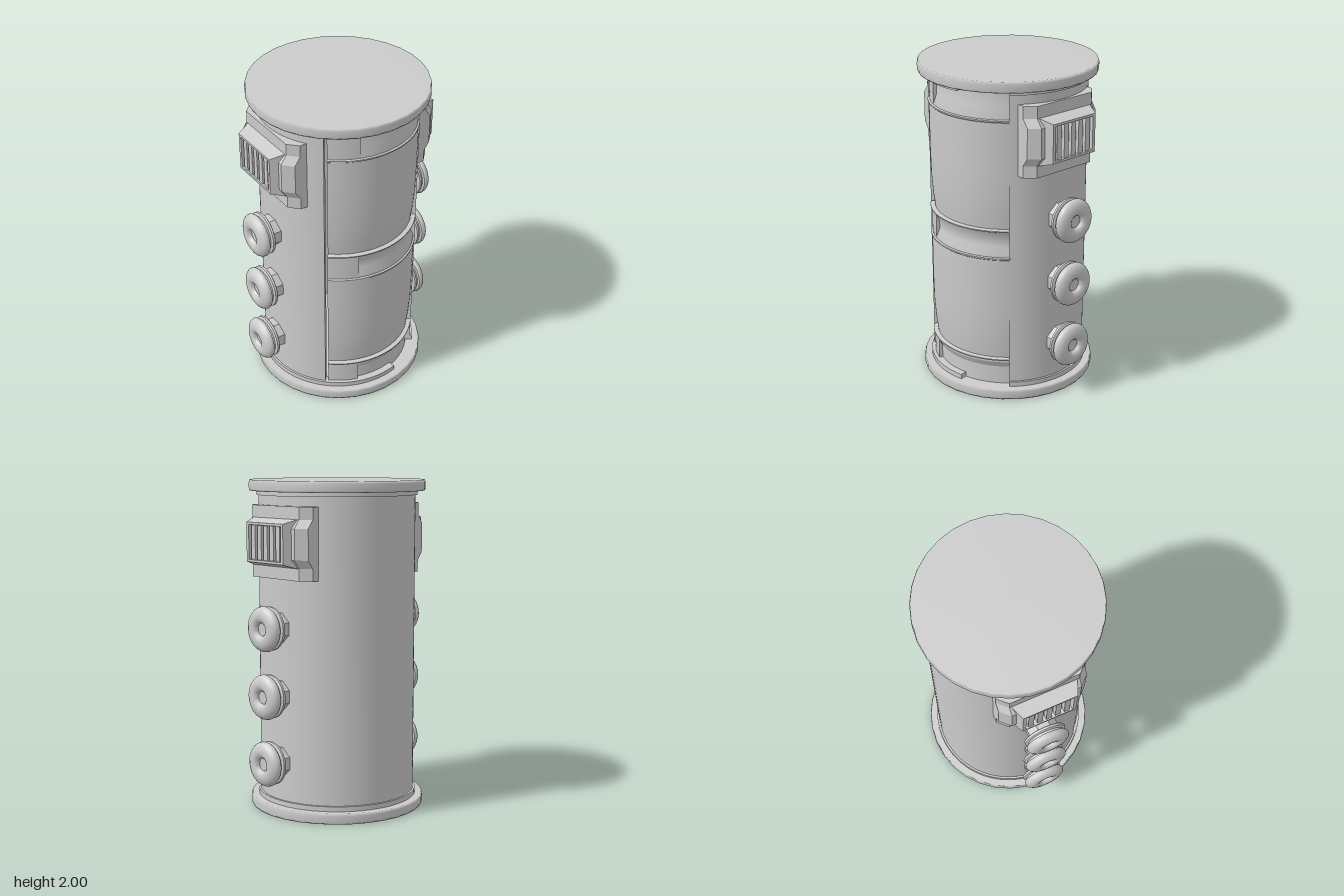
import * as THREE from 'three';
import { toCreasedNormals } from 'three/addons/utils/BufferGeometryUtils.js';

const rad = THREE.MathUtils.degToRad;
const grey = new THREE.MeshStandardMaterial({ color: 0xcccccc, side: THREE.DoubleSide });
const pts = (list) => list.map(([x, y]) => new THREE.Vector2(x, y));

function add(parent, name, geometry) {
  const mesh = new THREE.Mesh(geometry, grey);
  mesh.name = name;
  parent.add(mesh);
  return mesh;
}

// Solid sector of a ring; angles in degrees from the front (+z) towards +x
function ringSector(r0, r1, from, to, y0, y1) {
  const a = rad(from - 90), b = rad(to - 90);
  const shape = new THREE.Shape();
  shape.absarc(0, 0, r1, a, b, false);
  shape.absarc(0, 0, r0, b, a, true);
  const g = new THREE.ExtrudeGeometry(shape, { depth: y1 - y0, bevelEnabled: false, curveSegments: 40 });
  g.rotateX(-Math.PI / 2).translate(0, y0, 0);
  return toCreasedNormals(g, 0.5);
}

// Barrel-shaped panel profile, tucked in at its lower edge, with a thin lip at each end
const panelProfile = (y) => [
  [0.465, y - 0.015], [0.475, y - 0.01], [0.475, y - 0.003], [0.447, y], [0.457, y + 0.08],
  [0.466, y + 0.2], [0.47, y + 0.38], [0.47, y + 0.655], [0.476, y + 0.66], [0.476, y + 0.668], [0.465, y + 0.672],
];

// Round knob on a faceted stem, pointing along +x
function knob() {
  const group = new THREE.Group();
  group.name = 'knob';
  const stem = new THREE.CylinderGeometry(0.098, 0.098, 0.08, 8).toNonIndexed();
  stem.computeVertexNormals();
  stem.rotateY(Math.PI / 8).rotateZ(-Math.PI / 2).translate(0.5, 0, 0);
  add(group, 'knobStem', stem);
  const profile = pts([
    [0, 0.526], [0.125, 0.526], [0.13, 0.53], [0.13, 0.544], [0.125, 0.548], [0.112, 0.55],
    [0.112, 0.564], [0.13, 0.566], [0.135, 0.575], [0.132, 0.59], [0.122, 0.604],
    [0.1, 0.616], [0.075, 0.62], [0.055, 0.616], [0.043, 0.606], [0.039, 0.592], [0, 0.59],
  ]);
  const head = new THREE.LatheGeometry(profile, 32).rotateZ(-Math.PI / 2);
  add(group, 'knobHead', toCreasedNormals(head, 0.8));
  return group;
}

// Vent on a bulged backing plate, facing +x
function vent() {
  const group = new THREE.Group();
  group.name = 'vent';
  const outline = new THREE.Shape(pts([
    [0.36, -0.213], [0.49, -0.213], [0.49, -0.14], [0.525, -0.09],
    [0.525, 0.09], [0.49, 0.14], [0.49, 0.213], [0.36, 0.213],
  ]));
  const plate = new THREE.ExtrudeGeometry(outline, { depth: 3, steps: 3, bevelEnabled: false });
  const pos = plate.attributes.position;
  const zs = [-0.267, -0.21, 0.21, 0.267];
  for (let i = 0; i < pos.count; i++) { // chamfer both ends
    const k = Math.round(pos.getZ(i));
    if ((k === 0 || k === 3) && pos.getX(i) > 0.4) pos.setX(i, pos.getX(i) - 0.055);
    pos.setZ(i, zs[k]);
  }
  plate.computeVertexNormals();
  add(group, 'ventPlate', plate);

  // Tapered rectangular frame with a recess
  const s = Math.SQRT2;
  const profile = pts([[s, 0.485], [0.82 * s, 0.572], [0.72 * s, 0.572], [0.7 * s, 0.535], [0, 0.535]]);
  const frame = new THREE.LatheGeometry(profile, 4, Math.PI / 4).toNonIndexed();
  frame.scale(0.142, 1, 0.2).rotateZ(-Math.PI / 2);
  frame.computeVertexNormals();
  add(group, 'ventFrame', frame);

  for (let i = -2; i <= 2; i++) {
    add(group, 'ventSlat', new THREE.BoxGeometry(0.03, 0.2, 0.034)).position.set(0.55, 0, i * 0.055);
  }
  return group;
}

export function createModel() {
  const model = new THREE.Group();
  model.name = 'cabin';

  // Wall, open at the front
  add(model, 'wall', ringSector(0.43, 0.475, 50, 316, 0.05, 1.95));

  // Front panels and the stepped grooves between them
  const profile = pts([
    [0.445, 0.06], [0.445, 0.18], [0.465, 0.22], ...panelProfile(0.245),
    [0.465, 0.93], [0.445, 0.98], [0.445, 1.03], [0.465, 1.075], ...panelProfile(1.09),
    [0.465, 1.77], [0.445, 1.83], [0.445, 1.94],
  ]);
  const front = new THREE.LatheGeometry(profile, 24, rad(-42), rad(93));
  add(model, 'frontPanels', toCreasedNormals(front, 0.45));
  for (const [y0, y1] of [[0.06, 0.235], [0.925, 1.08], [1.765, 1.94]]) {
    add(model, 'grooveEnd', ringSector(0.43, 0.466, -42, -19, y0, y1));
  }

  // Top and bottom caps with their collars
  for (const top of [false, true]) {
    const y0 = top ? 1.935 : 0;
    const cap = pts([[0, y0], [0.53, y0], [0.535, y0 + 0.01], [0.535, y0 + 0.05], [0.53, y0 + 0.065], [0, y0 + 0.065]]);
    add(model, top ? 'topCap' : 'bottomCap', new THREE.LatheGeometry(cap, 32));
    const c = top ? 1.91 : 0.06;
    add(model, 'collar', ringSector(0.44, 0.488, 50, 373, c, c + 0.035));
  }

  // Vents and knobs on both sides
  for (const turn of [0, Math.PI]) {
    const side = new THREE.Group();
    side.name = turn ? 'rightFittings' : 'leftFittings';
    side.rotation.y = turn;
    const v = vent();
    v.position.y = 1.642;
    side.add(v);
    for (const y of [0.33, 0.735, 1.14]) {
      const k = knob();
      k.position.y = y;
      side.add(k);
    }
    model.add(side);
  }
  return model;
}
